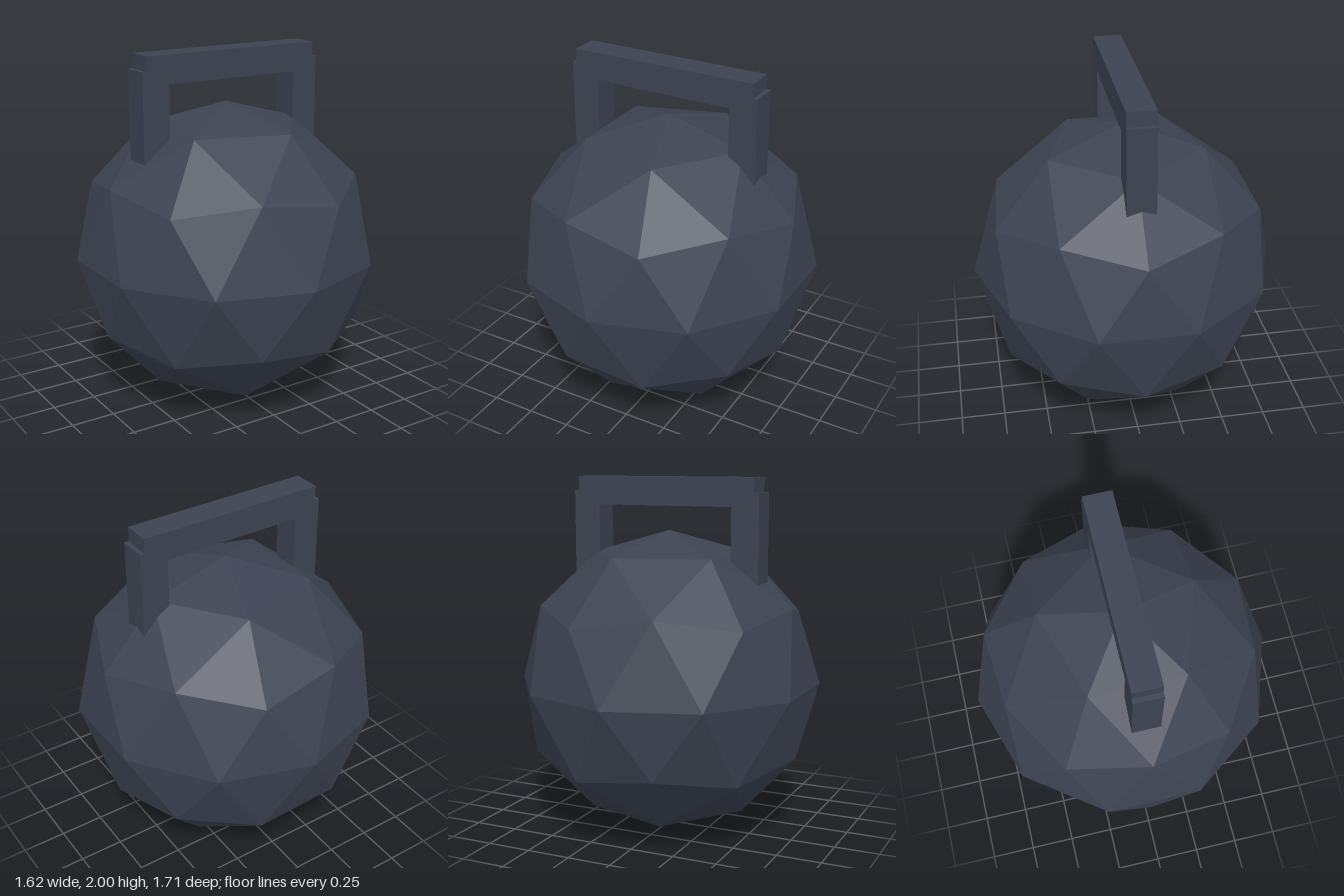
import * as THREE from 'three';

export function createModel() {
  const group = new THREE.Group();
  group.name = 'kettlebell';
  const iron = new THREE.MeshStandardMaterial({ color: 0x3d4352, flatShading: true });
  iron.name = 'dark iron';

  const add = (name, geometry, x, y) => {
    const mesh = new THREE.Mesh(geometry, iron);
    mesh.name = name;
    mesh.position.set(x, y, 0);
    group.add(mesh);
  };

  // Faceted ball, turned so that it stands on a corner
  const radius = 0.853;
  const ball = new THREE.IcosahedronGeometry(radius, 1);
  ball.rotateZ(-Math.atan(2 / (1 + Math.sqrt(5))));
  add('ball', ball, 0, radius);

  // Handle: two posts sunk into the ball, joined by a grip
  const depth = 0.157;
  for (const [name, side] of [['leftPost', 1], ['rightPost', -1]]) {
    add(name, new THREE.BoxGeometry(0.157, 0.62, depth), side * 0.478, 1.61);
  }
  add('grip', new THREE.BoxGeometry(1.06, 0.157, depth), 0, 1.9215);

  return group;
}
